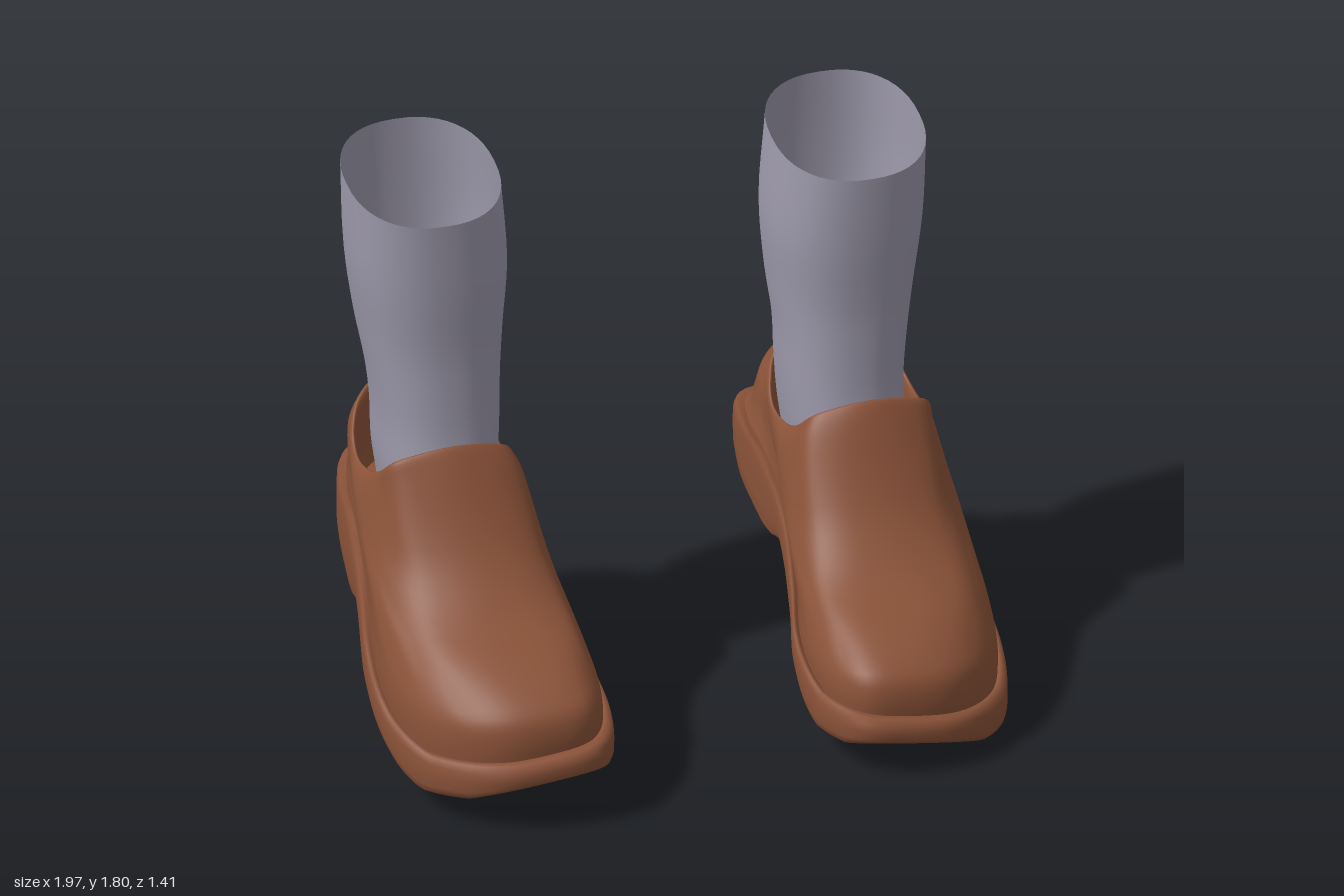
import * as THREE from 'three';

const V = (x, y, z) => new THREE.Vector3(x, y, z);
const { lerp, clamp } = THREE.MathUtils;
const N = 120; // columns around each shoe, starting at the toe and passing the outer side

// Piecewise linear lookup in [z, y] pairs with falling z
function lookup(table, z) {
  for (let i = 1; i < table.length; i++) {
    const [z0, y0] = table[i - 1], [z1, y1] = table[i];
    if (z >= z1) return lerp(y0, y1, clamp((z0 - z) / (z0 - z1), 0, 1));
  }
  return table[table.length - 1][1];
}
// Height of the tread and of the welt along the shoe
const treadY = z => lookup([[0.7, 0.09], [0.62, 0.055], [0.47, 0.04], [0.36, 0.07], [0.2, 0.135], [0, 0.205],
  [-0.12, 0.28], [-0.19, 0.34], [-0.23, 0.335], [-0.29, 0.315], [-0.36, 0.315], [-0.71, 0.455]], z);
const weltY = z => lookup([[0.7, 0.17], [0.5, 0.165], [0.3, 0.21], [0.1, 0.285], [-0.1, 0.4],
  [-0.25, 0.49], [-0.4, 0.55], [-0.7, 0.61]], z);

// Closed outline from toe, outer side, heel and inner side
function outline(toeX, heelX, zs, outer, inner) {
  const last = zs.length - 1;
  const pts = [V(toeX, 0, zs[0])];
  outer.forEach((x, i) => pts.push(V(x, 0, zs[i + 1])));
  pts.push(V(heelX, 0, zs[last]));
  for (let i = inner.length - 1; i >= 0; i--) pts.push(V(inner[i], 0, zs[i + 1]));
  const curve = new THREE.CatmullRomCurve3(pts, true, 'centripetal');
  return Array.from({ length: N }, (_, i) => curve.getPoint(i / N));
}
const soleLine = outline(0.57, 0.64,
  [0.7, 0.68, 0.6, 0.45, 0.25, 0.05, -0.15, -0.35, -0.55, -0.66, -0.71],
  [0.72, 0.84, 0.94, 0.985, 0.975, 0.935, 0.905, 0.875, 0.82],
  [0.43, 0.36, 0.32, 0.325, 0.375, 0.41, 0.405, 0.395, 0.43]);
const collarLine = outline(0.66, 0.66,
  [1, 0.98, 0.93, 0.8, 0.65, 0.5, 0.37, 0.25, 0.12, 0.03, 0],
  [0.76, 0.85, 0.875, 0.885, 0.89, 0.885, 0.87, 0.83, 0.75],
  [0.56, 0.48, 0.455, 0.445, 0.44, 0.44, 0.455, 0.49, 0.57]);

function toGeometry(points, index, side) {
  const g = new THREE.BufferGeometry();
  g.setAttribute('position', new THREE.Float32BufferAttribute(points.flatMap(p => [p.x * side, p.y, p.z]), 3));
  if (side < 0) {
    for (let i = 0; i < index.length; i += 3) [index[i + 1], index[i + 2]] = [index[i + 2], index[i + 1]];
  }
  g.setIndex(index);
  g.computeVertexNormals();
  return g;
}
// Skin over closed rings of equal length
function loft(rings, side) {
  const n = rings[0].length, index = [];
  for (let r = 0; r < rings.length - 1; r++) {
    for (let i = 0; i < n; i++) {
      const j = (i + 1) % n, a = r * n + i, b = r * n + j;
      index.push(a, b, b + n, a, b + n, a + n);
    }
  }
  return toGeometry(rings.flat(), index, side);
}
// Fill a ring by bridging its outer and inner sides
function cap(ring, side, up) {
  const index = [];
  for (let i = 0; i < N / 2; i++) {
    const a = i, b = i + 1, c = N - i - 1, d = (N - i) % N;
    if (up) index.push(a, b, c, a, c, d);
    else index.push(a, c, b, a, d, c);
  }
  return toGeometry(ring, index, side);
}

// Rings of the sole, from tread to welt: [outline scale, share of height, lift]
function soleRings(roll) {
  const rows = [[0.955, 0, 0], [0.982, 0, 0.012], [0.998, 0.3, 0], [1, 0.65, 0], [0.995, 0.9, 0],
    [0.975, 1, 0.008], [0.94, 1, 0.008], [0.86, 1, -0.01]];
  return rows.map(([s, share, lift]) => soleLine.map(p => {
    const x = 0.655 + (p.x - 0.655) * s;
    return V(x, lerp(treadY(p.z), weltY(p.z), share) + lift - roll * (x - 0.655), p.z * s);
  }));
}

// Rings of the upper: [front z, back z, lift at front, middle, back, blend to collar]
const upperRows = [
  [0.65, -0.65, -0.01, -0.01, -0.01, 0],
  [0.655, -0.65, 0.06, 0.035, 0.04, 0],
  [0.64, -0.645, 0.13, 0.06, 0.06, 0.05],
  [0.58, -0.64, 0.185, 0.085, 0.08, 0.12],
  [0.47, -0.63, 0.235, 0.115, 0.11, 0.22],
  [0.3, -0.625, 0.27, 0.145, 0.15, 0.35],
  [0.17, -0.615, 0.325, 0.17, 0.2, 0.48],
  [0.08, -0.6, 0.41, 0.195, 0.25, 0.6],
  [0, -0.575, 0.505, 0.22, 0.3, 0.8],
  [-0.03, -0.55, 0.535, 0.24, 0.345, 1],
];
function upperRings(roll) {
  const rows = upperRows.map(([front, back, f, m, b, k], r) => soleLine.map((p, i) => {
    const q = collarLine[i], t = lerp((p.z + 0.71) / 1.41, q.z, k);
    const x = lerp(0.655 + (p.x - 0.655) * 0.92, q.x, k), z = lerp(back, front, t);
    const lift = f * t * (2 * t - 1) + m * 4 * t * (1 - t) + b * (1 - t) * (1 - 2 * t);
    return V(x, weltY(z) + lift - roll * (x - 0.655) * Math.max(0, 1 - r / 5), z);
  }));
  // rolled lip and lining
  const rim = rows[rows.length - 1];
  const inset = (s, shift, height) => rim.map(p =>
    V(0.66 + (p.x - 0.66) * s, height(p), -0.29 + (p.z + 0.29) * s + shift));
  rows.push(inset(0.965, 0, p => p.y + 0.006), inset(0.93, 0, p => p.y - 0.02),
    inset(0.93, 0.02, p => lerp(p.y, weltY(p.z), 0.5)), inset(0.9, 0.03, p => weltY(p.z) + 0.07));
  // smooth every column
  const steps = 40;
  const columns = rim.map((_, i) => new THREE.CatmullRomCurve3(rows.map(r => r[i]), false, 'centripetal'));
  return Array.from({ length: steps + 1 }, (_, s) => columns.map(c => c.getPoint(s / steps)));
}

// Rings of the sock: [front y, back y, inner x, outer x, front z, back z]
function sockRings() {
  const rows = [
    [0.64, 0.66, 0.48, 0.81, -0.04, -0.53],
    [0.76, 0.78, 0.465, 0.825, -0.05, -0.54],
    [0.9, 0.92, 0.455, 0.83, -0.07, -0.535],
    [1.04, 1.06, 0.45, 0.845, -0.08, -0.54],
    [1.18, 1.23, 0.435, 0.87, -0.085, -0.59],
    [1.4, 1.45, 0.42, 0.9, -0.075, -0.6],
    [1.65, 1.74, 0.44, 0.91, -0.07, -0.6],
  ].map(([yf, yb, x0, x1, zf, zb]) => Array.from({ length: 48 }, (_, i) => {
    const a = i / 48 * Math.PI * 2, sq = v => Math.sign(v) * Math.abs(v) ** 0.86;
    const t = (sq(Math.cos(a)) + 1) / 2;
    return V(lerp(x0, x1, (sq(Math.sin(a)) + 1) / 2), lerp(yb, yf, t), lerp(zb, zf, t));
  }));
  const columns = rows[0].map((_, i) => new THREE.CatmullRomCurve3(rows.map(r => r[i])));
  return Array.from({ length: 25 }, (_, s) => columns.map(c => c.getPoint(s / 24)));
}

export function createModel() {
  const leather = new THREE.MeshStandardMaterial({ color: 0x8a5238 });
  leather.name = 'brown leather';
  const wool = new THREE.MeshStandardMaterial({ color: 0x9c98aa, side: THREE.DoubleSide });
  wool.name = 'grey wool';

  const model = new THREE.Group();
  model.name = 'shoesAndSocks';
  // the right foot is raised a little and rolls less
  for (const [name, side, raise, roll] of [['left', 1, 0, 0.15], ['right', -1, 0.065, 0.1]]) {
    const foot = new THREE.Group();
    foot.name = name + 'Foot';
    foot.position.y = raise;
    const add = (part, geometry, material) => {
      const mesh = new THREE.Mesh(geometry, material);
      mesh.name = part;
      foot.add(mesh);
    };
    const sole = soleRings(roll), upper = upperRings(roll);
    add('sole', loft(sole, side), leather);
    add('tread', cap(sole[0], side, false), leather);
    add('upper', loft(upper, side), leather);
    add('insole', cap(upper[upper.length - 1], side, true), leather);
    add('sock', loft(sockRings(), side), wool);
    model.add(foot);
  }
  return model;
}
